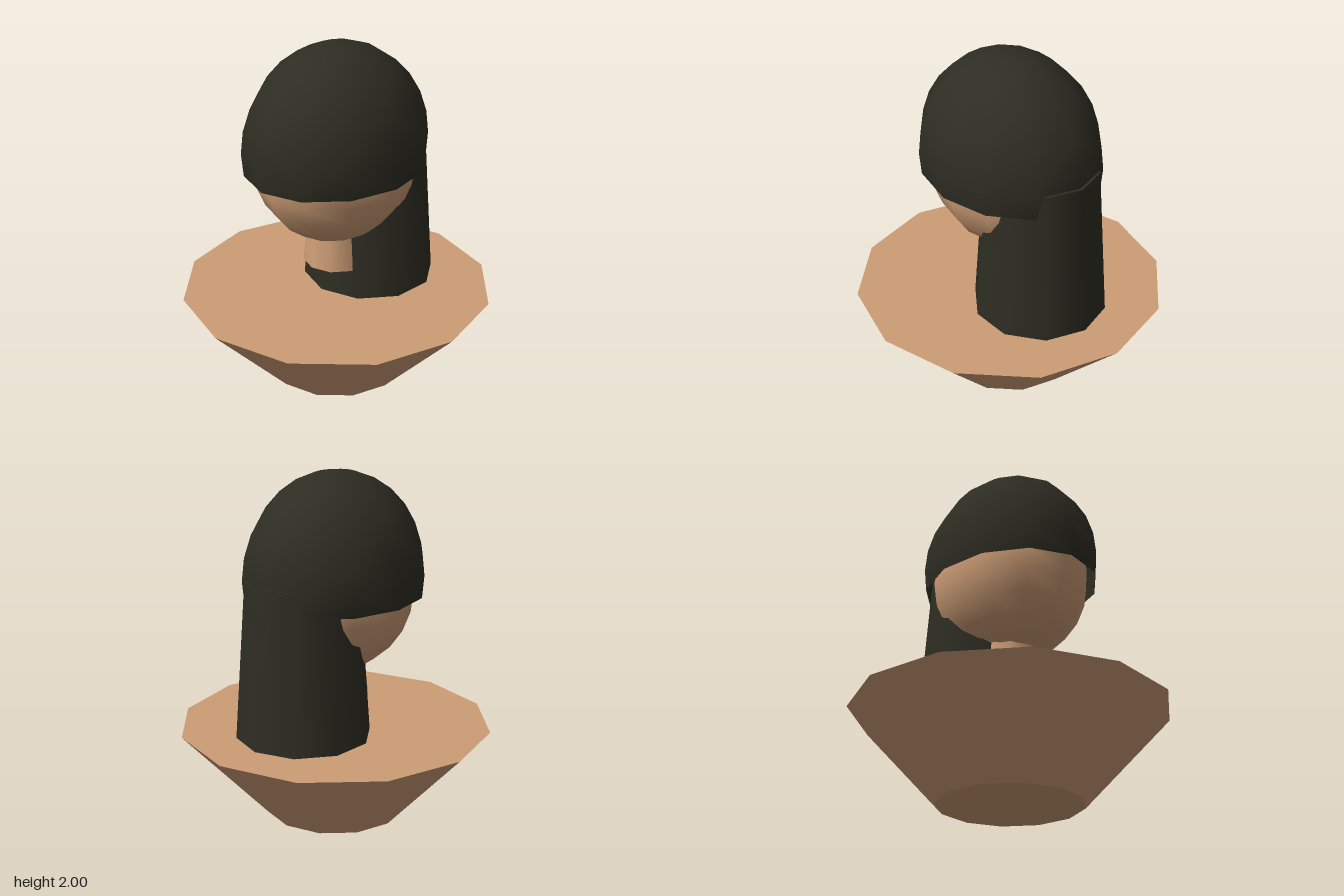
import * as THREE from 'three';

export function createModel() {
  const model = new THREE.Group();
  model.name = 'bust';

  const skin = new THREE.MeshStandardMaterial({ color: 0xcd9d76 });
  skin.name = 'skin';
  const hair = new THREE.MeshStandardMaterial({ color: 0x2e2d23, side: THREE.DoubleSide });
  hair.name = 'dark hair';

  const add = (name, geometry, material, y, z = 0) => {
    const mesh = new THREE.Mesh(geometry, material);
    mesh.name = name;
    mesh.position.set(0, y, z);
    model.add(mesh);
    return mesh;
  };

  // Flared shoulders, standing on the ground
  add('shoulders', new THREE.CylinderGeometry(0.905, 0.41, 0.53, 12), skin, 0.265);

  // Short neck, ending above the shoulders
  add('neck', new THREE.CylinderGeometry(0.163, 0.195, 0.3, 10), skin, 0.85);

  // Egg-shaped head
  const head = add('head', new THREE.SphereGeometry(1, 12, 12), skin, 1.33);
  head.scale.set(0.425, 0.475, 0.5);

  // Hair cap: open dome reaching a little below its widest ring
  const dome = new THREE.SphereGeometry(1, 12, 8, 0, Math.PI * 2, 0, THREE.MathUtils.degToRad(102));
  const cap = add('hairCap', dome, hair, 1.412);
  cap.scale.set(0.479, 0.588, 0.568);

  // Long hair falling down the back
  add('backHair', new THREE.CylinderGeometry(0.32, 0.385, 0.9, 10), hair, 0.98, -0.264);

  return model;
}
